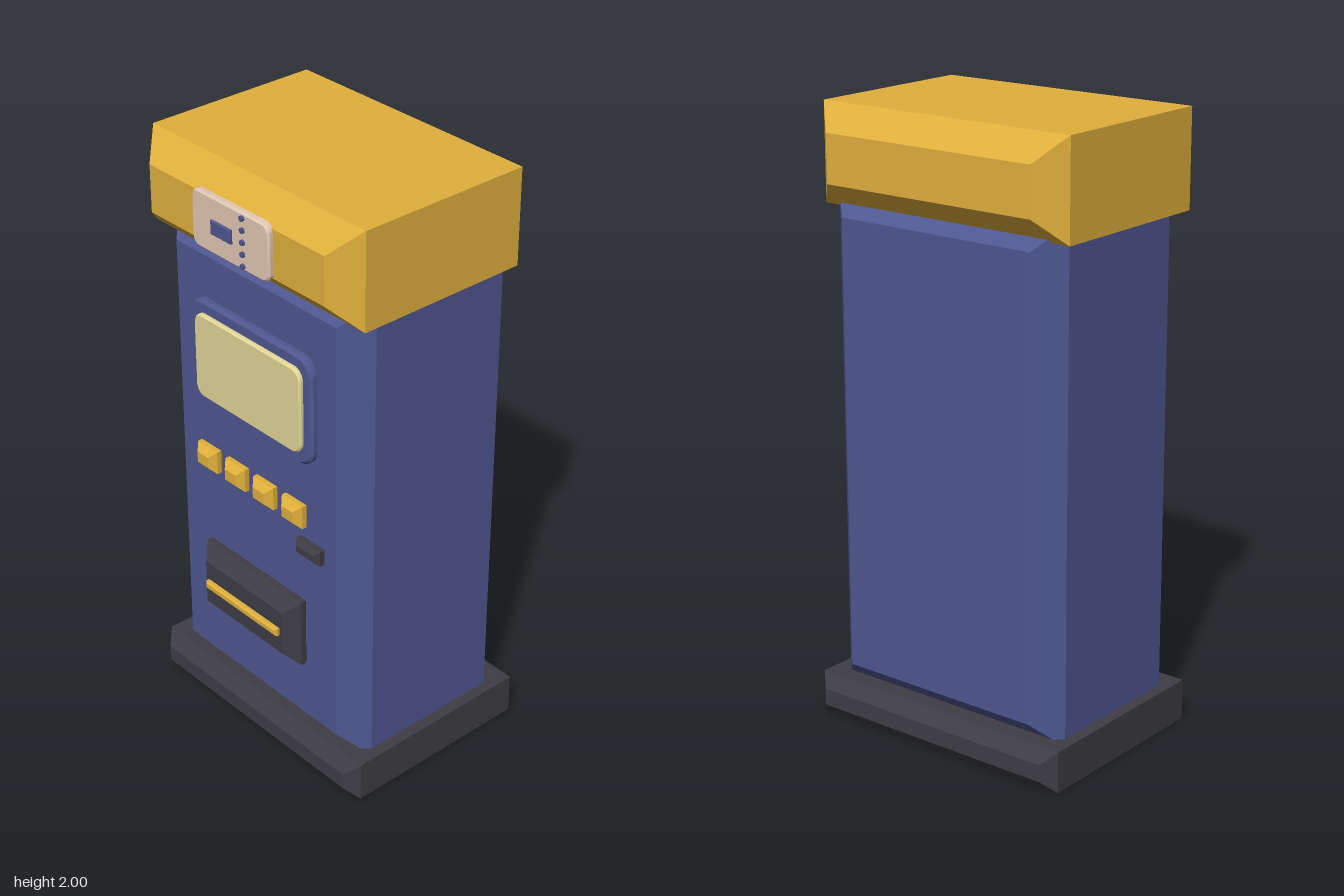
import * as THREE from 'three';
import { toCreasedNormals } from 'three/addons/utils/BufferGeometryUtils.js';

const material = (name, color) => {
  const m = new THREE.MeshStandardMaterial({ color });
  m.name = name;
  return m;
};

// Rectangle outline, optionally with rounded corners
function outline(w, h, r) {
  const s = new THREE.Shape();
  const x = w / 2, y = h / 2;
  if (!r) {
    s.moveTo(-x, -y).lineTo(x, -y).lineTo(x, y).lineTo(-x, y).closePath();
    return s;
  }
  s.moveTo(-x + r, -y);
  s.absarc(x - r, -y + r, r, -Math.PI / 2, 0);
  s.absarc(x - r, y - r, r, 0, Math.PI / 2);
  s.absarc(-x + r, y - r, r, Math.PI / 2, Math.PI);
  s.absarc(-x + r, -y + r, r, Math.PI, Math.PI * 1.5);
  return s;
}

// Block spanning z0..z1 whose front and back edges are chamfered by b
function block(name, mat, x, y, w, h, z0, z1, b, r = 0) {
  let geo = new THREE.ExtrudeGeometry(outline(w, h, r), {
    depth: z1 - z0 - 2 * b,
    bevelEnabled: true,
    bevelThickness: b,
    bevelSize: b,
    bevelOffset: -b,
    bevelSegments: 1,
    curveSegments: 6,
  });
  if (r) geo = toCreasedNormals(geo, 0.5);
  const mesh = new THREE.Mesh(geo, mat);
  mesh.name = name;
  mesh.position.set(x, y, z0 + b);
  return mesh;
}

export function createModel() {
  const blue = material('cabinet blue', 0x4e5790);
  const gold = material('gold', 0xe0b03c);
  const charcoal = material('charcoal', 0x3e3d44);
  const cream = material('screen cream', 0xe2d697);
  const beige = material('panel beige', 0xe2c8b3);

  const model = new THREE.Group();
  model.name = 'vendingMachine';

  // Cabinet
  model.add(
    block('base', charcoal, 0, 0.068, 0.956, 0.136, -0.4, 0.345, 0.04),
    block('body', blue, 0, 0.925, 0.88, 1.63, -0.355, 0.305, 0.08),
    block('head', gold, 0, 1.842, 0.932, 0.316, -0.388, 0.372, 0.08),
  );

  // Screen
  model.add(
    block('screenFrame', blue, 0, 1.335, 0.556, 0.37, 0.29, 0.328, 0.01, 0.06),
    block('screen', cream, 0, 1.335, 0.486, 0.29, 0.31, 0.342, 0.006, 0.04),
  );

  // Row of selection buttons
  const buttons = new THREE.Group();
  buttons.name = 'buttons';
  for (let i = 0; i < 4; i++) {
    buttons.add(block('button', gold, -0.2 + i * 0.1335, 0.973, 0.093, 0.08, 0.302, 0.36, 0.021));
  }
  model.add(buttons);

  // Coin slot, dispenser hatch and its handle
  model.add(
    block('coinSlot', charcoal, 0.265, 0.856, 0.108, 0.053, 0.3, 0.347, 0.015),
    block('dispenser', charcoal, 0, 0.522, 0.456, 0.24, 0.27, 0.373, 0.042),
    block('dispenserHandle', gold, 0, 0.523, 0.346, 0.027, 0.365, 0.39, 0.006),
  );

  // Sign plate on the head with a small window and a column of studs
  const sign = new THREE.Group();
  sign.name = 'sign';
  sign.add(
    block('signPlate', beige, 0, 1.842, 0.342, 0.184, 0.362, 0.389, 0.006, 0.03),
    block('signWindow', blue, -0.033, 1.84, 0.09, 0.045, 0.385, 0.397, 0.002),
  );
  const studGeo = new THREE.CylinderGeometry(0.009, 0.009, 0.012, 8).rotateX(Math.PI / 2);
  for (let i = 0; i < 5; i++) {
    const stud = new THREE.Mesh(studGeo, blue);
    stud.name = 'stud';
    stud.position.set(0.06, 1.766 + i * 0.038, 0.391);
    sign.add(stud);
  }
  model.add(sign);

  return model;
}
